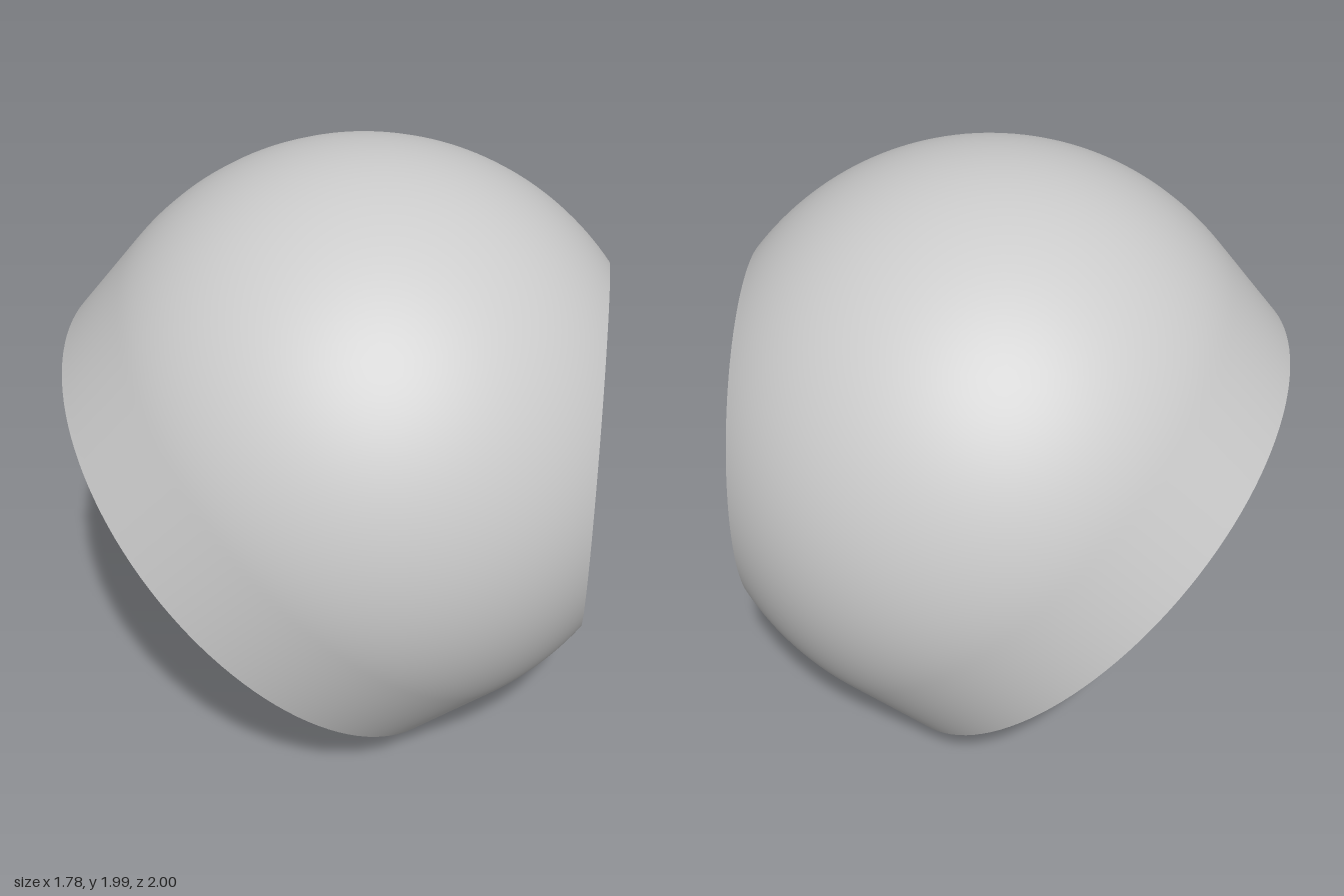
import * as THREE from 'three';

const SEG = 128, ROWS = 64;
const CENTER = new THREE.Vector3(0.1, 0.995, 0);
const AXIS = new THREE.Vector3(-1, -1, 0).normalize();   // direction the flat base faces
const X = new THREE.Vector3(1, 0, 0), Y = new THREE.Vector3(0, 1, 0), Z = new THREE.Vector3(0, 0, 1);
const BASE_V = new THREE.Vector3().crossVectors(AXIS, Z); // in-plane "up" of the base
const BASE_DIST = 0.445, BASE_R = 0.955;
const SOCKET_R = 0.615, SOCKET_DIST = Math.sqrt(1 - SOCKET_R * SOCKET_R);
const BORE_R = 0.54, BORE_DEPTH = 0.47;
const HOLE_R = 0.29, HOLE_DEPTH = 0.2, HOLE_Z = 0.535;
// Half angle of the skirt cone that runs tangent from the sphere to the base rim
const TAPER = Math.atan2(BASE_DIST, BASE_R) - Math.acos(1 / Math.hypot(BASE_DIST, BASE_R));

const grey = new THREE.MeshStandardMaterial({ color: 0xcccccc });
const greyInside = new THREE.MeshStandardMaterial({ color: 0xcccccc, side: THREE.DoubleSide });

function addMesh(parent, name, geometry, material = grey) {
  const mesh = new THREE.Mesh(geometry, material);
  mesh.name = name;
  parent.add(mesh);
  return mesh;
}

// Distance from the centre to the skin: unit sphere, then the tangent cone
function skinRadius(dir) {
  const t = dir.dot(AXIS);
  if (t < Math.sin(TAPER)) return 1;
  return 1 / (Math.sqrt(1 - t * t) * Math.cos(TAPER) + t * Math.sin(TAPER));
}

// Point on a rim circle about an axis
function rimPoint(axis, dist, up, radius, a) {
  return new THREE.Vector3().addScaledVector(axis, dist)
    .addScaledVector(up, radius * Math.cos(a)).addScaledVector(Z, radius * Math.sin(a));
}

// Skin swept by arcs from the socket rim to the base rim
function shellGeometry() {
  const positions = [], index = [];
  for (let i = 0; i <= ROWS; i++) {
    for (let k = 0; k < SEG; k++) {
      const a = (k / SEG) * Math.PI * 2;
      const from = rimPoint(X, SOCKET_DIST, Y, SOCKET_R, a).normalize();
      const to = rimPoint(AXIS, BASE_DIST, BASE_V, BASE_R, a).normalize();
      const angle = from.angleTo(to), s = i / ROWS;
      const dir = from.multiplyScalar(Math.sin((1 - s) * angle))
        .addScaledVector(to, Math.sin(s * angle)).normalize();
      const p = dir.clone().multiplyScalar(skinRadius(dir));
      positions.push(p.x, p.y, p.z);
      if (i < ROWS) {
        const n = (k + 1) % SEG, r0 = i * SEG, r1 = r0 + SEG;
        index.push(r0 + k, r1 + k, r0 + n, r1 + k, r1 + n, r0 + n);
      }
    }
  }
  const g = new THREE.BufferGeometry();
  g.setAttribute('position', new THREE.Float32BufferAttribute(positions, 3));
  g.setIndex(index);
  g.computeVertexNormals();
  return g;
}

// Blind round hole opening towards local +z
function recess(name, radius, depth) {
  const group = new THREE.Group();
  group.name = name;
  const wall = new THREE.CylinderGeometry(radius, radius, depth, SEG, 1, true);
  wall.rotateX(Math.PI / 2).translate(0, 0, -depth / 2);
  addMesh(group, name + 'Wall', wall, greyInside);
  addMesh(group, name + 'Floor', new THREE.CircleGeometry(radius, SEG)).position.z = -depth;
  return group;
}

export function createModel() {
  const model = new THREE.Group();
  model.name = 'ballFitting';

  // Rounded body
  addMesh(model, 'shell', shellGeometry()).position.copy(CENTER);

  // Side socket facing +x
  const socket = new THREE.Group();
  socket.name = 'socket';
  addMesh(socket, 'socketRim', new THREE.RingGeometry(BORE_R, SOCKET_R, SEG));
  socket.add(recess('socketBore', BORE_R, BORE_DEPTH));
  socket.rotation.y = Math.PI / 2;
  socket.position.copy(CENTER).addScaledVector(X, SOCKET_DIST);
  model.add(socket);

  // Slanted flat base with two round holes
  const base = new THREE.Group();
  base.name = 'base';
  const plate = new THREE.Shape().absarc(0, 0, BASE_R, 0, Math.PI * 2);
  for (const side of [-1, 1]) {
    plate.holes.push(new THREE.Path().absarc(side * HOLE_Z, 0, HOLE_R, 0, Math.PI * 2, true));
    const hole = recess(side > 0 ? 'frontBaseHole' : 'backBaseHole', HOLE_R, HOLE_DEPTH);
    hole.position.x = side * HOLE_Z;
    base.add(hole);
  }
  addMesh(base, 'basePlate', new THREE.ShapeGeometry(plate, SEG));
  base.quaternion.setFromRotationMatrix(new THREE.Matrix4().makeBasis(Z, BASE_V, AXIS));
  base.position.copy(CENTER).addScaledVector(AXIS, BASE_DIST);
  model.add(base);

  return model;
}
